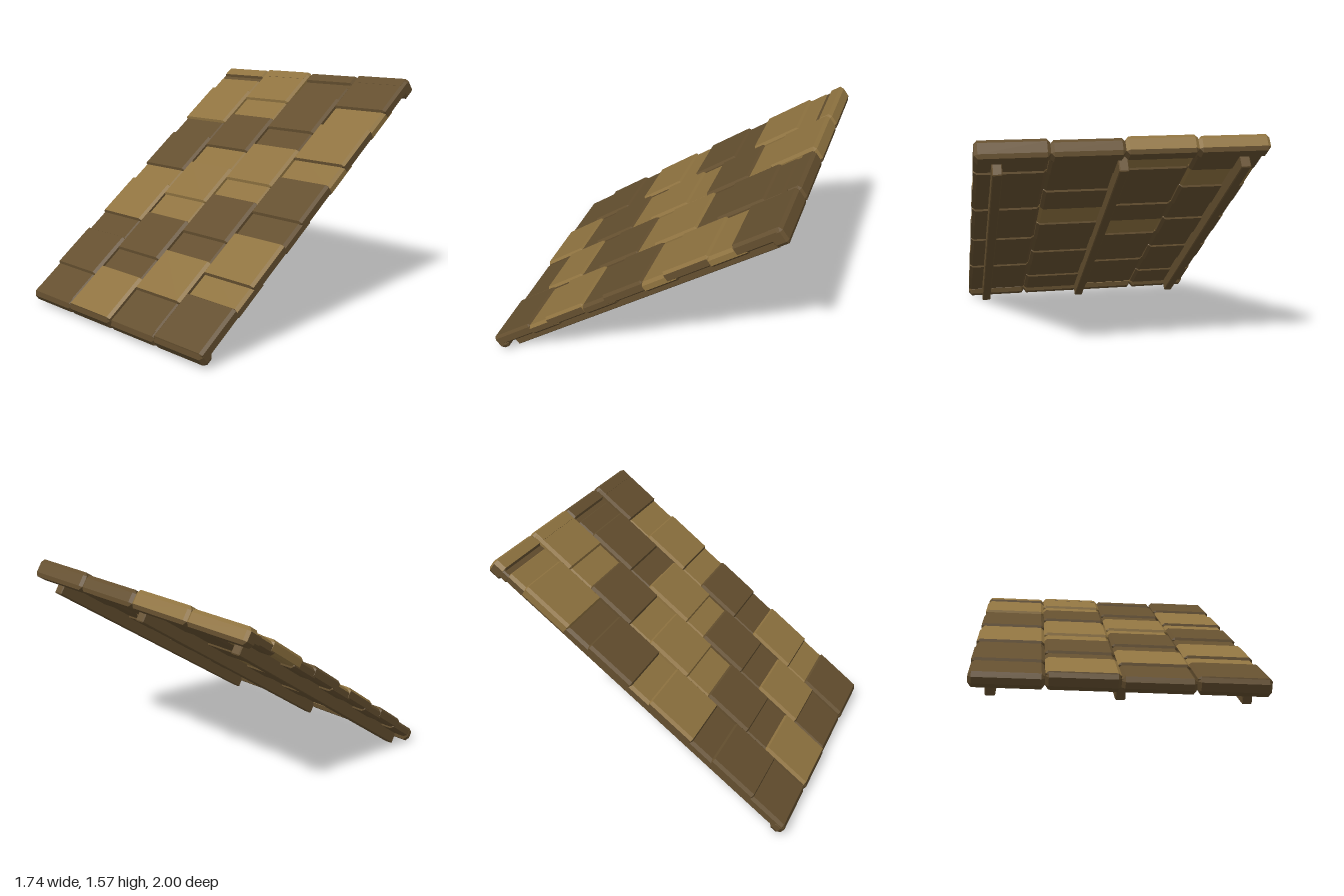
import * as THREE from 'three';
import { ConvexGeometry } from 'three/addons/geometries/ConvexGeometry.js';

const TAN = new THREE.MeshStandardMaterial({ color: 0x8f7340 });
TAN.name = 'lightWood';
const DARK = new THREE.MeshStandardMaterial({ color: 0x644f2f });
DARK.name = 'darkWood';

// Block with every edge chamfered by c = [x, n, s] insets;
// s runs up the slope (local -z), n points away from the roof (local y)
function chamferedBlock(x0, x1, n0, n1, s0, s1, c) {
  const half = [(x1 - x0) / 2, (n1 - n0) / 2, (s1 - s0) / 2];
  const mid = [(x0 + x1) / 2, (n0 + n1) / 2, -(s0 + s1) / 2];
  const points = [];
  for (const sx of [-1, 1]) for (const sy of [-1, 1]) for (const sz of [-1, 1]) {
    const sign = [sx, sy, sz];
    for (let out = 0; out < 3; out++) {
      const p = sign.map((g, k) => mid[k] + g * (half[k] - (k === out ? 0 : c[k])));
      points.push(new THREE.Vector3(...p));
    }
  }
  return new ConvexGeometry(points);
}

// Which faces are light: t = top and uphill end, s = all but the underside
const lightFaces = {
  t: (y, z) => (y > 0.5 && z < 0.3) || (z < -0.5 && y > -0.3),
  s: (y) => y > -0.3,
};

// D = all dark, T = all light, otherwise split by face direction
function tileMesh(name, geometry, paint) {
  let material = paint === 'T' ? TAN : DARK;
  if (paint in lightFaces) {
    material = [DARK, TAN];
    const normal = geometry.attributes.normal;
    for (let i = 0; i < normal.count; i += 3) {
      geometry.addGroup(i, 3, lightFaces[paint](normal.getY(i), normal.getZ(i)) ? 1 : 0);
    }
  }
  const mesh = new THREE.Mesh(geometry, material);
  mesh.name = name;
  return mesh;
}

// Slope ranges of the tiles, from ridge to eave, for the two alternating layouts
const layouts = [
  {
    raised: [[1.085, 1.45], [0.56, 0.92], [0.045, 0.41], [-0.47, -0.12]],
    flat: [[1.39, 1.58], [0.88, 1.16], [0.36, 0.64], [-0.16, 0.12], [-0.74, -0.40]],
    ridgeTop: 0.684, eaveTop: 0.677, grooved: true,
  },
  {
    raised: [[1.36, 1.68], [0.83, 1.185], [0.32, 0.66], [-0.218, 0.139], [-0.74, -0.38]],
    flat: [[1.16, 1.44], [0.64, 0.91], [0.12, 0.40], [-0.40, -0.13]],
    ridgeTop: 0.694, eaveTop: 0.69, grooved: false,
  },
];

// Paint of each column's tiles, from ridge to eave
const columns = [
  { raised: 'TDtD', flat: 'tDtDD', ridge: 't', eave: 'D' },
  { raised: 'TDTDt', flat: 'tttD', ridge: 't', eave: 't' },
  { raised: 'DTDt', flat: 'DDtDD', ridge: 'D', eave: 'D' },
  { raised: 'DtDtD', flat: 'ssDt', ridge: 'D', eave: 'D' },
];

export function createModel() {
  const model = new THREE.Group();
  model.name = 'roofPanel';
  const slope = new THREE.Group();
  slope.name = 'slopedRoof';
  slope.rotation.x = 0.6475;
  model.add(slope);

  columns.forEach((paint, i) => {
    const column = new THREE.Group();
    column.name = 'tileColumn' + (i + 1);
    slope.add(column);
    const x = (i - 1.5) * 0.436;
    const { raised, flat, ridgeTop, eaveTop, grooved } = layouts[i % 2];
    const block = (name, w, n0, n1, s0, s1, c, p) =>
      column.add(tileMesh(name, chamferedBlock(x - w, x + w, n0, n1, s0, s1, c), p));

    // Lower tiles tucked beneath the raised ones
    flat.forEach(([a, b], k) =>
      block('lowerTile', 0.2165, 0.603, 0.677, a, b, [0.02, 0.018, 0.01], paint.flat[k]));
    // Raised overlapping tiles
    raised.forEach(([a, b], k) =>
      block('raisedTile', 0.218, 0.614, 0.693, a, b, [0.02, 0.016, 0.01], paint.raised[k]));
    // Thick end blocks
    block('ridgeBlock', 0.218, 0.575, ridgeTop, 1.605, 1.705, [0.02, 0.024, 0.015], paint.ridge);
    block('eaveBlock', 0.218, 0.583, eaveTop, -0.756, -0.665, [0.02, 0.028, 0.025], paint.eave);
    // Recessed strip closing the groove below the ridge block
    if (grooved) block('grooveStrip', 0.218, 0.603, 0.667, 1.56, 1.63, [0.01, 0.01, 0.01], 'D');
  });

  // Long support beams beneath the tiles
  for (const x of [-0.745, 0, 0.74]) {
    const beam = new THREE.Mesh(
      chamferedBlock(x - 0.03, x + 0.03, 0.525, 0.63, -0.694, 1.576, [0.006, 0.006, 0.006]), DARK);
    beam.name = 'supportBeam';
    slope.add(beam);
  }
  return model;
}
